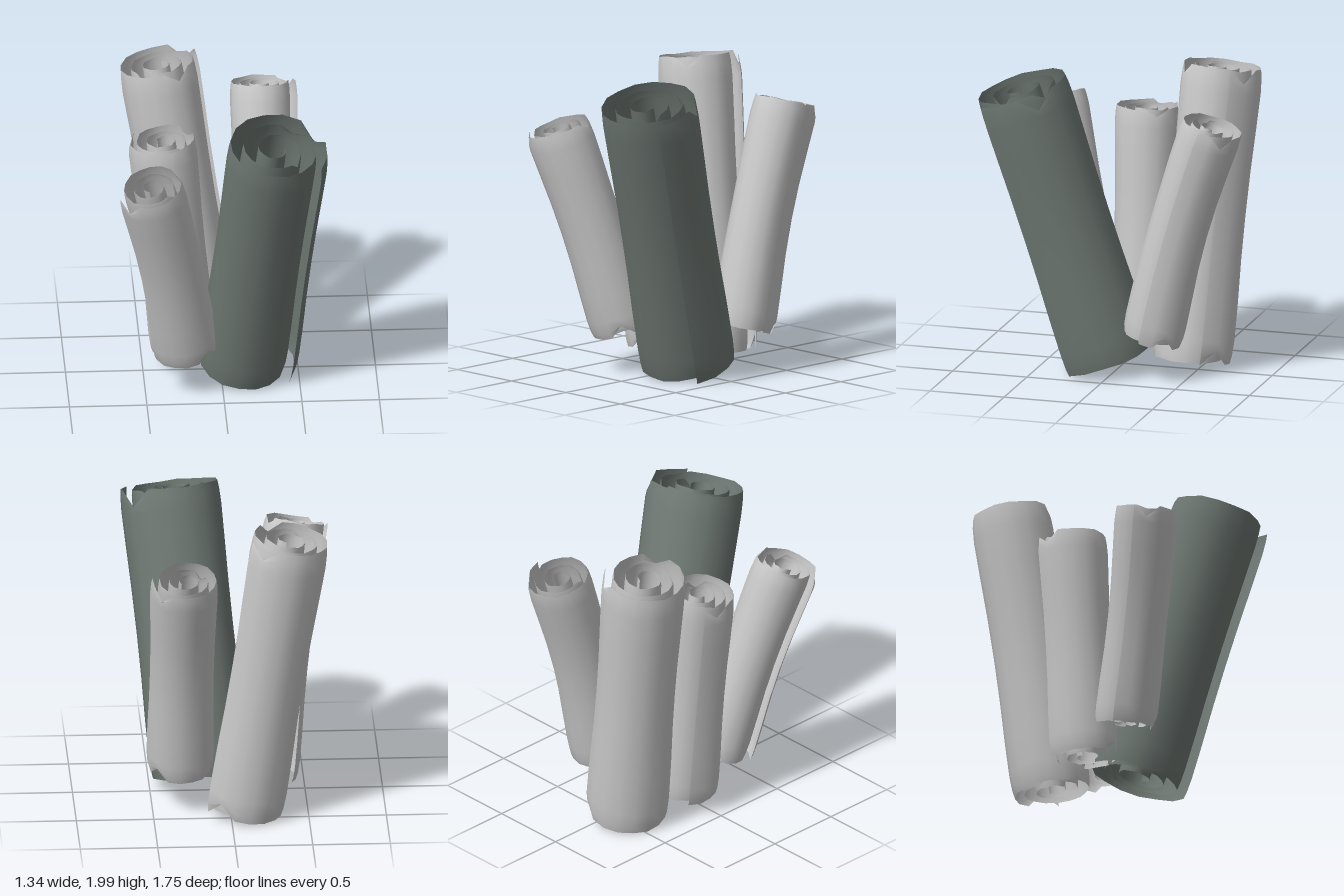
import * as THREE from 'three';

const PER_TURN = 16;
const TURNS = 3.1;
// Rows along the sheet: [position 0..1, radius factor] for curled ends and a slight waist
const ROWS = [[0, 0.95], [0.03, 0.99], [0.08, 1.01], [0.2, 1.0], [0.35, 0.97], [0.5, 0.96],
  [0.65, 0.97], [0.8, 1.0], [0.92, 1.02], [0.97, 1.0], [1, 0.97]];

// A sheet rolled into a spiral, running from bottom to top, its free edge at angle startDeg.
// bend shifts the middle sideways by [x, z]; tears give the depth of notches by column.
function rolledSheet({ name, bottom, top, radius, startDeg, waist = 1, bend = [0, 0], topTears, bottomTears }, material) {
  const a = new THREE.Vector3(...bottom);
  const axis = new THREE.Vector3(...top).sub(a);
  const length = axis.length();
  const columns = Math.round(PER_TURN * TURNS);
  const positions = [];
  const index = [];

  for (let i = 0; i <= columns; i++) {
    const turn = i / PER_TURN;
    const angle = THREE.MathUtils.degToRad(startDeg) - turn * Math.PI * 2;
    const coil = radius * (turn < 1 ? 1.14 - 0.24 * turn : 0.9 - 0.33 * (turn - 1));
    // Torn notches and a slightly uneven edge
    const uneven = 0.004 * Math.sin(i * 2.3);
    const cutTop = (topTears[i] ?? 0.004 + uneven) + (turn > 1 ? 0.012 : 0);
    const cutBottom = (bottomTears[i] ?? 0.004 - uneven) + (turn > 1 ? 0.012 : 0);
    for (const [t, bulge] of ROWS) {
      const r = coil * (1 + (bulge - 1) * waist);
      const sway = Math.sin(t * Math.PI);
      const y = THREE.MathUtils.clamp(t * length, cutBottom + t * 0.01, length - cutTop - (1 - t) * 0.01);
      positions.push(Math.cos(angle) * r + bend[0] * sway, y, Math.sin(angle) * r + bend[1] * sway);
    }
  }

  const n = ROWS.length;
  for (let i = 0; i < columns; i++) {
    for (let j = 0; j < n - 1; j++) {
      const p = i * n + j;
      index.push(p, p + 1, p + n, p + 1, p + n + 1, p + n);
    }
  }

  const geometry = new THREE.BufferGeometry();
  geometry.setAttribute('position', new THREE.Float32BufferAttribute(positions, 3));
  geometry.setIndex(index);
  geometry.computeVertexNormals();

  const mesh = new THREE.Mesh(geometry, material);
  mesh.name = name;
  mesh.position.copy(a);
  mesh.quaternion.setFromUnitVectors(new THREE.Vector3(0, 1, 0), axis.normalize());
  return mesh;
}

export function createModel() {
  const group = new THREE.Group();
  group.name = 'rolledScrolls';

  const paleBark = new THREE.MeshStandardMaterial({ color: 0xcacaca, side: THREE.DoubleSide });
  paleBark.name = 'pale grey';
  const darkBark = new THREE.MeshStandardMaterial({ color: 0x707a75, side: THREE.DoubleSide });
  darkBark.name = 'dark grey green';

  // Large dark roll at the front
  group.add(rolledSheet({
    name: 'darkFrontRoll', bottom: [0.15, 0.095, 0.07], top: [0.33, 1.9, 0.605], radius: 0.303, startDeg: 32,
    waist: 0.6, topTears: { 3: 0.11, 20: 0.06, 32: 0.07 }, bottomTears: { 0: 0, 22: 0.06 },
  }, darkBark));

  // Four pale rolls around it
  const paleRolls = [
    { name: 'backLeftRoll', bottom: [-0.08, 0.05, -0.42], top: [-0.37, 1.96, -0.54], radius: 0.25, startDeg: -30,
      topTears: { 1: 0.09, 12: 0.07, 25: 0.06 }, bottomTears: { 1: 0.1, 24: 0.06 } },
    { name: 'backRightRoll', bottom: [0.31, 0.29, -0.275], top: [0.3, 1.74, -0.68], radius: 0.198, startDeg: 5,
      bend: [0, 0.03], topTears: { 2: 0.08, 26: 0.06 }, bottomTears: { 2: 0.08, 22: 0.06 } },
    { name: 'middleLeftRoll', bottom: [-0.22, 0.14, -0.07], top: [-0.365, 1.65, -0.06], radius: 0.207, startDeg: 215,
      topTears: { 1: 0.07, 11: 0.05, 24: 0.06 }, bottomTears: { 6: 0.07, 20: 0.05 } },
    { name: 'frontLeftRoll', bottom: [-0.23, 0.29, 0.24], top: [-0.48, 1.64, 0.6], radius: 0.198, startDeg: 160,
      bend: [0.02, 0], topTears: { 1: 0.08, 8: 0.05, 22: 0.06 }, bottomTears: { 5: 0.07, 18: 0.05 } },
  ];
  for (const roll of paleRolls) group.add(rolledSheet(roll, paleBark));

  return group;
}
